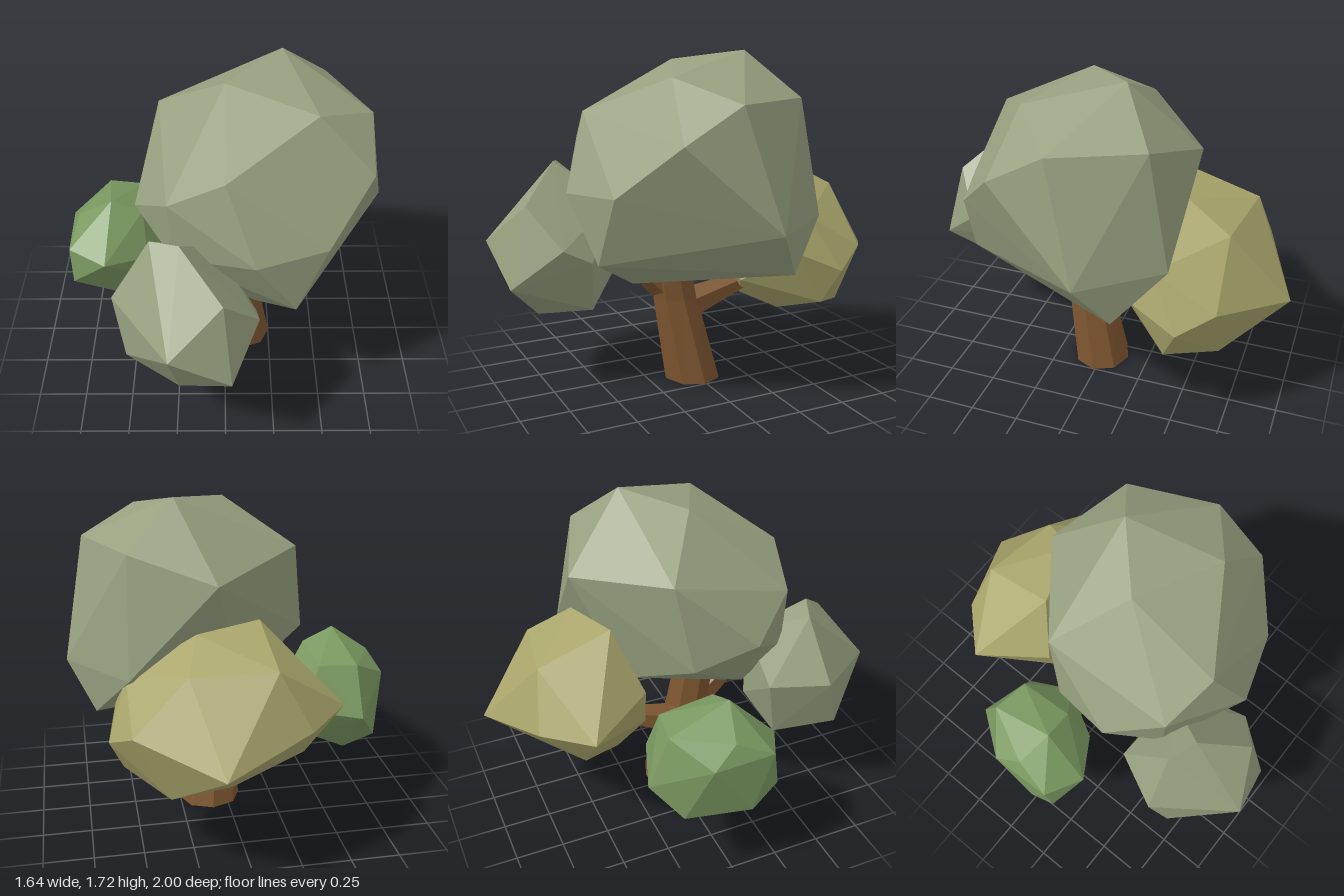
import * as THREE from 'three';
import { ConvexGeometry } from 'three/addons/geometries/ConvexGeometry.js';

const material = (color) => new THREE.MeshStandardMaterial({ color, flatShading: true });
const bark = material(0x7d5530);
const sage = material(0x96a07f);
const green = material(0x7a9860);
const olive = material(0xa9a56b);

// Faceted leaf clump: the hull around a few corner points
function clump(name, mat, corners) {
  const mesh = new THREE.Mesh(new ConvexGeometry(corners.map((c) => new THREE.Vector3(...c))), mat);
  mesh.name = name;
  return mesh;
}

// Tapered limb between two points
function limb(name, from, to, r0, r1, sides) {
  const a = new THREE.Vector3(...from), b = new THREE.Vector3(...to);
  const dir = b.clone().sub(a);
  const mesh = new THREE.Mesh(new THREE.CylinderGeometry(r1, r0, dir.length(), sides), bark);
  mesh.position.copy(a).add(b).multiplyScalar(0.5);
  mesh.quaternion.setFromUnitVectors(new THREE.Vector3(0, 1, 0), dir.normalize());
  mesh.name = name;
  return mesh;
}

// Leaning trunk whose rings stay level, so it stands flat on the ground
function trunk() {
  // x, y, z, radius across, radius in depth
  const rings = [[0.087, 0, 0.01, 0.165, 0.15], [0.06, 0.45, 0.095, 0.115, 0.122], [0.06, 0.78, 0.15, 0.1, 0.11]];
  const geo = new THREE.CylinderGeometry(1, 1, 1, 8, rings.length - 1);
  const p = geo.attributes.position;
  for (let i = 0; i < p.count; i++) {
    const [x, y, z, rx, rz] = rings[Math.round((p.getY(i) + 0.5) * (rings.length - 1))];
    p.setXYZ(i, x + p.getX(i) * rx, y, z + p.getZ(i) * rz);
  }
  geo.computeVertexNormals();
  const mesh = new THREE.Mesh(geo, bark);
  mesh.name = 'trunk';
  return mesh;
}

export function createModel() {
  const tree = new THREE.Group();
  tree.name = 'tree';

  // Trunk and branches
  tree.add(
    trunk(),
    limb('frontBranch', [0.06, 0.46, 0.1], [0.04, 0.8, 0.45], 0.09, 0.06, 6),
    limb('backBranch', [0.06, 0.38, 0.06], [0.1, 0.51, -0.36], 0.1, 0.04, 6),
    limb('sideBranch', [0.04, 0.42, 0.05], [-0.38, 0.53, -0.05], 0.1, 0.022, 6),
  );

  // Large main crown
  tree.add(clump('mainCrown', sage, [
    [0.28, 1.72, -0.18], [0, 1.67, 0.08], [0.71, 1.5, 0.06], [0.52, 1.5, -0.36],
    [0.43, 1.61, 0.28], [0, 1.43, 0.56], [-0.33, 1.45, -0.14], [-0.27, 1.27, 0.5],
    [-0.44, 1.1, 0.26], [0.14, 1.06, 0.7], [0.48, 1.08, 0.59], [0.7, 1.33, 0.35],
    [0.82, 0.91, -0.1], [0.34, 0.74, 0.62], [0.69, 0.68, -0.24], [0.15, 0.57, 0.37],
    [0.54, 0.92, -0.47], [0.12, 1.37, -0.51], [-0.39, 1, -0.06], [-0.25, 0.95, 0.49],
    [-0.15, 0.7, 0.33], [-0.02, 0.8, -0.28],
  ]));

  // Smaller clump at the front
  tree.add(clump('frontClump', sage, [
    [-0.26, 0.77, 1], [0.03, 0.58, 0.96], [-0.01, 0.98, 0.86], [-0.21, 1.16, 0.65],
    [-0.35, 1.14, 0.59], [-0.54, 0.83, 0.63], [-0.48, 0.54, 0.72], [-0.23, 0.35, 0.75],
    [0, 0.41, 0.53], [0.16, 0.78, 0.73], [0.15, 0.7, 0.58], [-0.4, 0.8, 0.36],
    [-0.33, 0.45, 0.44], [-0.1, 0.58, 0.37], [-0.05, 0.95, 0.4],
  ]));

  // Green clump at the side
  tree.add(clump('sideClump', green, [
    [-0.59, 0.95, 0.03], [-0.77, 0.83, -0.02], [-0.63, 0.85, -0.3], [-0.44, 0.85, -0.27],
    [-0.43, 0.88, 0.02], [-0.82, 0.74, -0.15], [-0.82, 0.44, 0.06], [-0.81, 0.74, 0.17],
    [-0.8, 0.55, 0.2], [-0.62, 0.71, 0.27], [-0.41, 0.66, 0.14], [-0.64, 0.6, -0.41],
    [-0.36, 0.62, -0.31], [-0.28, 0.7, -0.1], [-0.63, 0.31, -0.14], [-0.6, 0.33, 0.04],
    [-0.34, 0.45, 0.04], [-0.42, 0.43, -0.2], [-0.75, 0.44, -0.27],
  ]));

  // Olive clump at the back
  tree.add(clump('backClump', olive, [
    [0.17, 0.64, -1], [-0.26, 0.76, -0.82], [-0.47, 0.78, -0.6], [-0.11, 1.04, -0.76],
    [0.29, 1.02, -0.7], [0.22, 1.14, -0.48], [-0.1, 1.16, -0.38], [0.55, 0.74, -0.71],
    [0.65, 0.65, -0.54], [0.58, 0.48, -0.47], [0.2, 0.34, -0.45], [0.05, 0.33, -0.5],
    [0.38, 0.41, -0.7], [-0.25, 0.85, -0.26], [-0.28, 0.55, -0.6], [-0.03, 0.38, -0.34],
    [0.28, 0.55, -0.18], [0.6, 0.75, -0.32], [0.55, 0.92, -0.4], [-0.18, 0.62, -0.24],
  ]));

  return tree;
}
